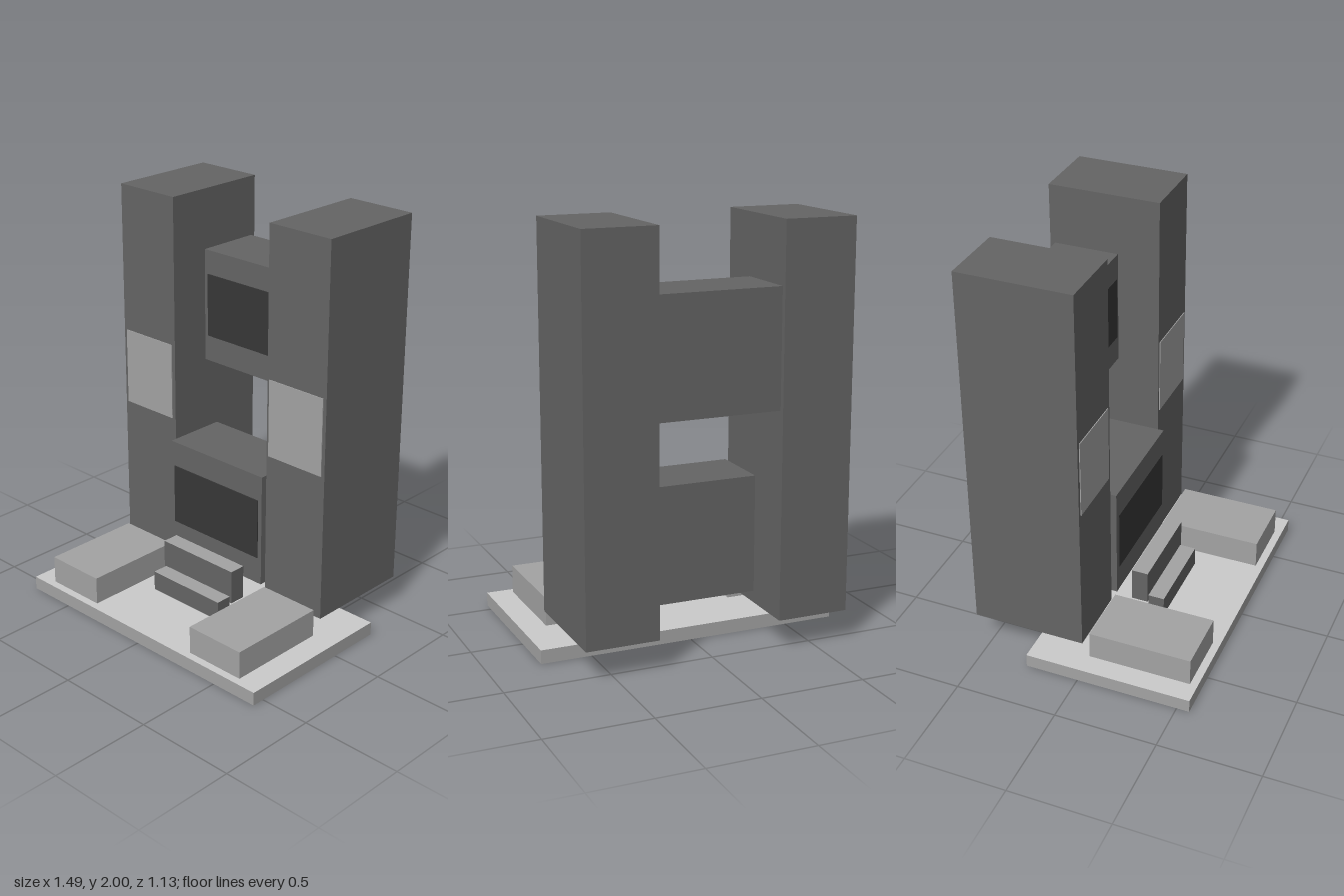
import * as THREE from 'three';

const mat = (name, color) => {
  const m = new THREE.MeshStandardMaterial({ color });
  m.name = name;
  return m;
};

export function createModel() {
  const group = new THREE.Group();
  const darkGrey = mat('darkGrey', 0x646464);
  const charcoal = mat('charcoal', 0x373737);
  const midGrey = mat('midGrey', 0xa3a3a3);
  const lightGrey = mat('lightGrey', 0xcacaca);

  // Box from its extents; a second material colours only the top face
  const box = (name, [x0, x1], [y0, y1], [z0, z1], side, top = side) => {
    const geo = new THREE.BoxGeometry(x1 - x0, y1 - y0, z1 - z0);
    const mesh = new THREE.Mesh(geo, top === side ? side : [side, side, top, side, side, side]);
    mesh.position.set((x0 + x1) / 2, (y0 + y1) / 2, (z0 + z1) / 2);
    mesh.name = name;
    group.add(mesh);
  };

  // Ground slab
  box('base', [-0.747, 0.747], [0, 0.066], [-0.263, 0.562], midGrey, lightGrey);

  // Two towers, each with a front panel and a low plinth before it
  const sides = [
    { side: 'right', tower: [-0.66, -0.31], panel: [-0.643, -0.33], plinth: [-0.64, -0.328] },
    { side: 'left', tower: [0.29, 0.641], panel: [0.303, 0.623], plinth: [0.311, 0.624] },
  ];
  for (const s of sides) {
    box(s.side + 'Tower', s.tower, [0.152, 2], [-0.565, -0.01], darkGrey);
    box(s.side + 'TowerPanel', s.panel, [0.885, 1.267], [-0.011, -0.006], midGrey);
    box(s.side + 'Plinth', s.plinth, [0.066, 0.204], [0.018, 0.524], midGrey);
  }

  // Bridges between the towers, each with a dark window
  const bridges = [
    { name: 'upper', y: [1.142, 1.704], z: [-0.541, -0.219], win: [1.272, 1.585] },
    { name: 'lower', y: [0.21, 0.779], z: [-0.3, 0.02], win: [0.347, 0.652] },
  ];
  for (const b of bridges) {
    box(b.name + 'Bridge', [-0.31, 0.29], b.y, b.z, darkGrey);
    box(b.name + 'Window', [-0.288, 0.268], b.win, [b.z[1] - 0.001, b.z[1] + 0.005], charcoal);
  }

  // Entrance steps with paler treads
  box('upperStep', [-0.237, 0.219], [0.131, 0.301], [0.067, 0.15], darkGrey, midGrey);
  box('lowerStep', [-0.227, 0.208], [0.066, 0.164], [0.15, 0.231], darkGrey, midGrey);

  return group;
}
